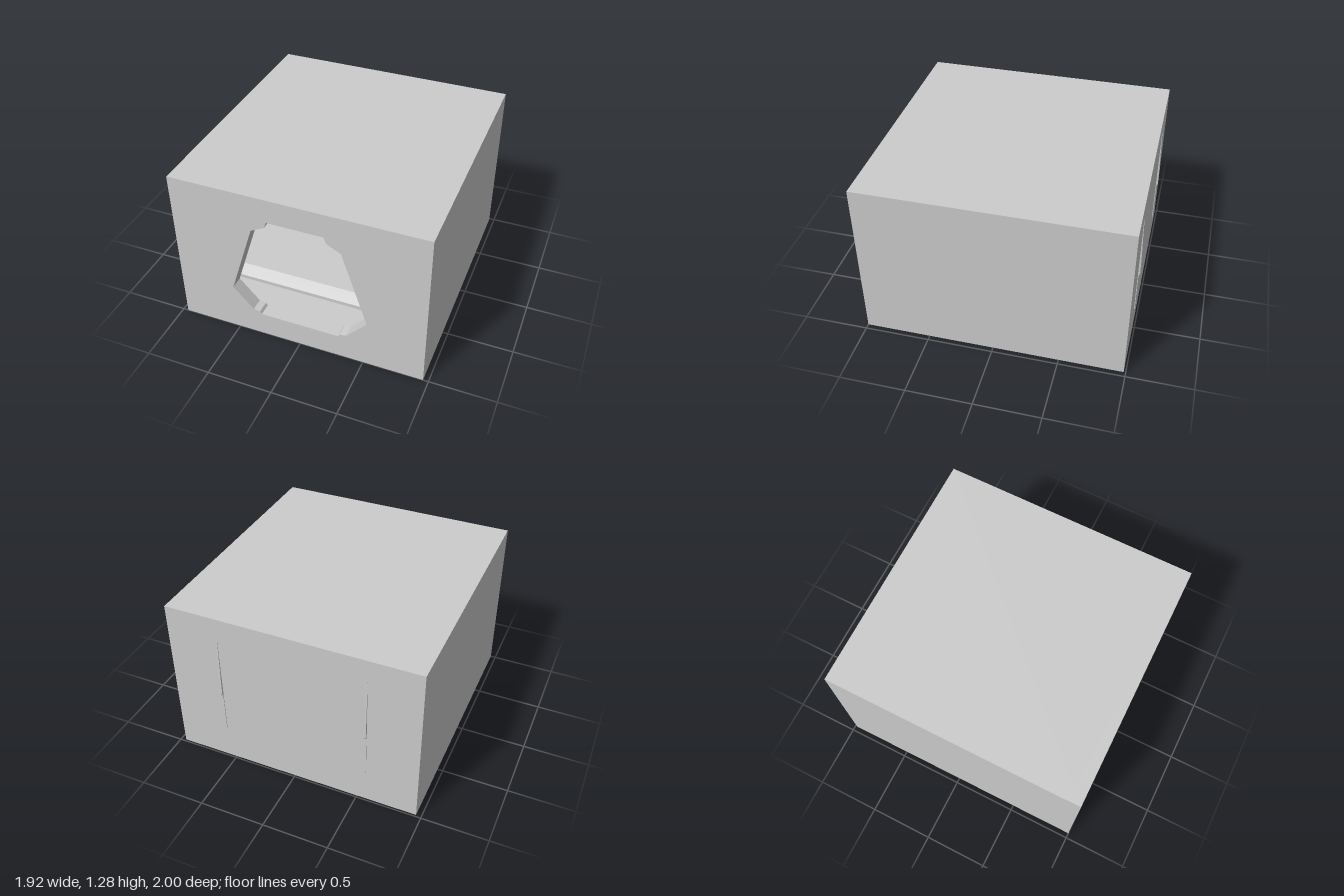
import * as THREE from 'three';
import { RoundedBoxGeometry } from 'three/addons/geometries/RoundedBoxGeometry.js';

const mat = new THREE.MeshStandardMaterial({ color: 0xcccccc, flatShading: true, side: THREE.DoubleSide });

export function createModel() {
  const root = new THREE.Group();

  const add = (name, geo, x = 0, y = 0, z = 0, parent = root) => {
    const m = new THREE.Mesh(geo, mat);
    m.name = name;
    m.position.set(x, y, z);
    parent.add(m);
    return m;
  };
  // Box given by its limits
  const box = (name, x0, x1, y0, y1, z0, z1, parent) =>
    add(name, new THREE.BoxGeometry(x1 - x0, y1 - y0, z1 - z0), (x0 + x1) / 2, (y0 + y1) / 2, (z0 + z1) / 2, parent);
  const poly = (pts) => new THREE.Shape(pts.map(([x, y]) => new THREE.Vector2(x, y)));
  const extrude = (shape, depth) => new THREE.ExtrudeGeometry(shape, { depth, bevelEnabled: false });
  // Section in (z, y) swept along x, centred on cx
  const sweepX = (name, pts, width, cx = 0, parent = root) => {
    const g = extrude(poly(pts.map(([z, y]) => [-z, y])), width);
    g.translate(0, 0, -width / 2);
    g.rotateY(Math.PI / 2);
    return add(name, g, cx, 0, 0, parent);
  };

  // Outer hull
  const W = 0.96, H = 1.28, B = -0.985, T = 0.02;
  box('hullBottom', -W, W, 0, T, B, 1);
  box('hullTop', -W, W, H - T, H, B, 1);
  box('hullBack', -W, W, T, H - T, B, B + T);
  for (const s of [-1, 1]) box('hullSide', s > 0 ? W - T : -W, s > 0 ? W : -W + T, T, H - T, B + T, 1);

  // Front wall with the faceted doorway
  const half = [[0.21, 1.09], [0.23, 1.04], [0.335, 0.985], [0.525, 0.395], [0.37, 0.225], [0.32, 0.215], [0.305, 0.195]];
  const front = poly([[-W, 0], [W, 0], [W, H], [-W, H]]);
  front.holes.push(poly([...half, ...half.map(([x, y]) => [-x, y]).reverse()]));
  add('frontWall', extrude(front, 0.1), 0, 0, 0.9);

  // Entry floor, step and main floor
  box('entryFloor', -0.8, 0.8, 0.15, 0.195, 0.68, 0.9);
  sweepX('floorStep', [[0.69, 0.15], [0.69, 0.225], [0.6, 0.265], [0.58, 0.15]], 1.6);
  box('mainFloor', -0.8, 0.8, 0.2, 0.265, -0.96, 0.6);
  for (const s of [-1, 1]) {
    const x = s * 0.81;
    box('roomWall', x - 0.01, x + 0.01, 0.15, 1.12, 0.06, 0.9);
    // Wall pod beside the door
    const pod = add('wallPod', new THREE.CylinderGeometry(0.05, 0.07, 0.12, 6), s * 0.74, 0.52, 0.42);
    pod.rotation.z = s * Math.PI / 2;
  }

  // Ceiling sloping down toward the rear screen
  sweepX('ceiling', [[0.9, 1.1], [0.9, 1.13], [-0.95, 1.13], [-0.95, 0.99], [-0.8, 1.02], [-0.75, 1.04]], 1.6);

  // Side consoles and the leaning walls above them
  for (const s of [-1, 1]) {
    const cons = poly([[0.37, 0.265], [0.37, 0.5], [0.45, 0.59], [0.8, 0.59], [0.8, 0.265]].map(([x, y]) => [s * x, y]));
    add('sideConsole', extrude(cons, 1), s * 0.01, 0, -0.94);
    const wall = poly([[0.56, 0.59], [0.375, 1.0], [0.22, 1.04], [0.22, 1.1], [0.8, 1.1], [0.8, 0.59]].map(([x, y]) => [s * x, y]));
    add('leaningWall', extrude(wall, 1), 0, 0, -0.94);
    // Sloped monitors along each console
    for (let i = 0; i < 4; i++) {
      const m = add('consoleMonitor', new THREE.BoxGeometry(0.09, 0.012, 0.17), s * 0.42, 0.55, -0.78 + i * 0.23);
      m.rotation.z = s * 0.844;
    }
    // Low floor fittings beside the consoles
    box('floorFitting', s * 0.32 - 0.05, s * 0.32 + 0.05, 0.265, 0.285, -0.7, -0.2);
  }

  // Rear wall, control desk and screen
  box('rearWall', -0.56, 0.56, 0.265, 1.08, -0.955, -0.9);
  sweepX('rearDesk', [[-0.9, 0.5], [-0.7, 0.5], [-0.7, 0.52], [-0.84, 0.59], [-0.9, 0.6]], 0.74);
  for (let row = 0; row < 2; row++) {
    for (let i = 0; i < 12; i++) {
      if ((i + row) % 5 === 3) continue;
      const b = add('deskButton', new THREE.BoxGeometry(0.04, 0.012, 0.03), -0.3 + i * 0.055, 0.54 + row * 0.03, -0.74 - row * 0.06);
      b.rotation.x = 0.46;
    }
  }
  const rounded = (w, h, r) => {
    const s = new THREE.Shape(), x = w / 2, y = h / 2;
    s.moveTo(-x + r, -y).lineTo(x - r, -y).quadraticCurveTo(x, -y, x, -y + r);
    s.lineTo(x, y - r).quadraticCurveTo(x, y, x - r, y).lineTo(-x + r, y);
    s.quadraticCurveTo(-x, y, -x, y - r).lineTo(-x, -y + r).quadraticCurveTo(-x, -y, -x + r, -y);
    return s;
  };
  const frame = rounded(0.72, 0.37, 0.04);
  frame.holes.push(rounded(0.67, 0.33, 0.03));
  add('screenFrame', extrude(frame, 0.03), 0, 0.81, -0.9);
  box('screenHood', -0.34, 0.34, 0.995, 1.02, -0.9, -0.82);

  // Swivel chair facing the screen
  const chair = new THREE.Group();
  chair.name = 'chair';
  chair.position.set(0.17, 0, -0.35);
  chair.rotation.y = 0.35;
  root.add(chair);
  add('chairPedestal', new THREE.CylinderGeometry(0.05, 0.06, 0.13, 8), 0, 0.33, 0, chair);
  add('chairSeat', new RoundedBoxGeometry(0.18, 0.06, 0.2, 2, 0.02), 0, 0.42, -0.02, chair);
  const back = poly([[-0.08, 0.4], [-0.1, 0.52], [-0.05, 0.73], [0.05, 0.73], [0.1, 0.52], [0.08, 0.4]]);
  add('chairBack', extrude(back, 0.06), 0, 0, 0.07, chair);
  for (const s of [-1, 1]) {
    sweepX('chairArm', [[0.1, 0.41], [0.1, 0.52], [-0.02, 0.5], [-0.14, 0.47], [-0.14, 0.44], [-0.04, 0.41]], 0.035, s * 0.1, chair);
  }

  // Thin fins showing through the rear hull
  for (const s of [-1, 1]) {
    sweepX('rearFin', [[-0.97, 0.27], [-0.99, 0.27], [-0.99, 0.6], [-1, 0.62], [-0.998, 0.75], [-0.99, 1.0], [-0.987, 1.11], [-0.97, 1.11]], 0.014, s * 0.563);
  }

  return root;
}
